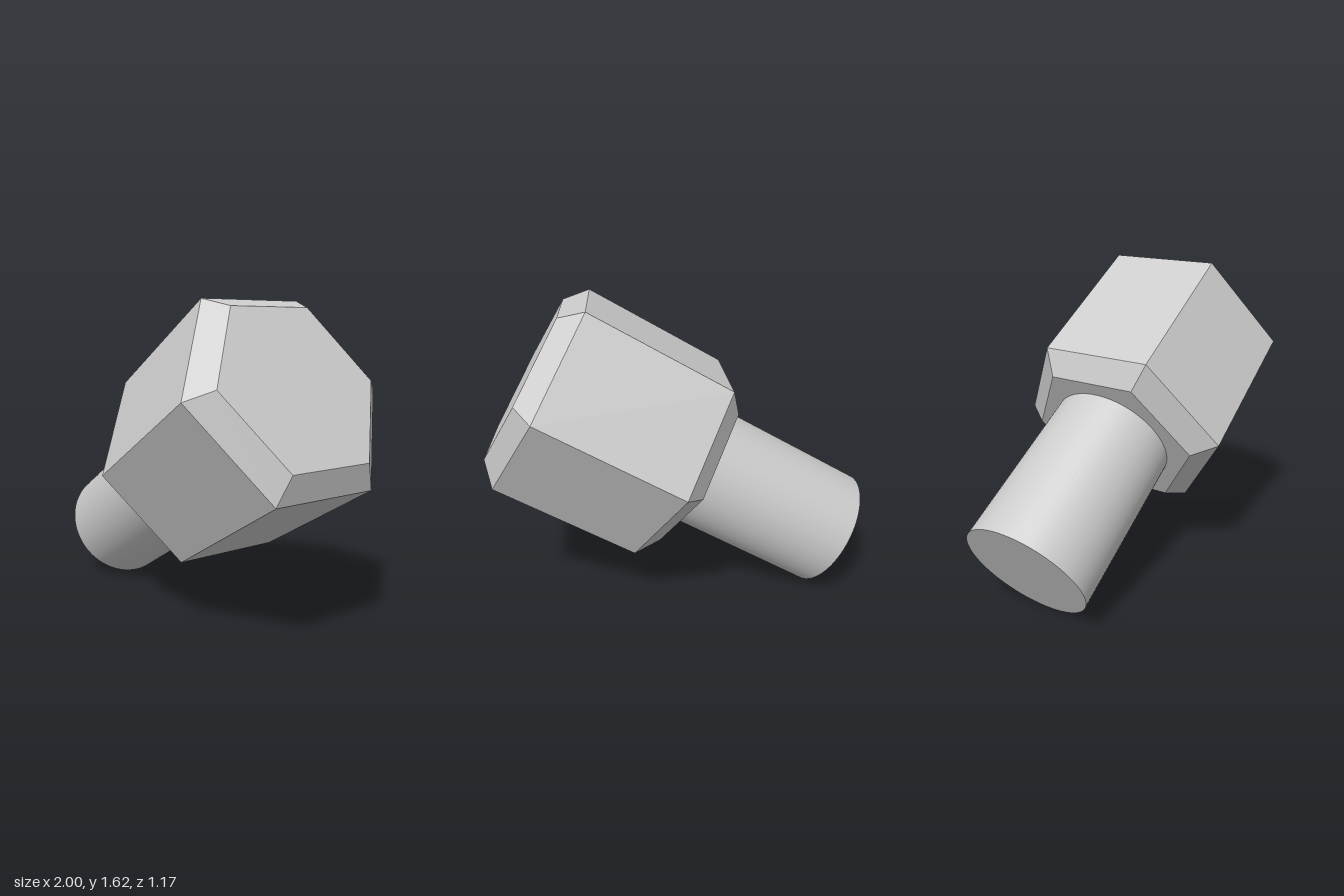
import * as THREE from 'three';

export function createModel() {
  const model = new THREE.Group();
  model.name = 'hexBolt';
  const smooth = new THREE.MeshStandardMaterial({ color: 0xcccccc });
  const faceted = new THREE.MeshStandardMaterial({ color: 0xcccccc, flatShading: true });

  // The bolt is built upright along y, then tilted as a whole
  const bolt = new THREE.Group();
  bolt.name = 'bolt';
  bolt.position.set(-0.837, 0.284, 0);
  bolt.rotation.z = -Math.PI / 3;
  model.add(bolt);

  // Round shaft, its end just inside the head
  const shaftLength = 0.9;
  const shaft = new THREE.Mesh(new THREE.CylinderGeometry(0.328, 0.328, shaftLength, 96), smooth);
  shaft.name = 'shaft';
  shaft.position.y = shaftLength / 2;
  bolt.add(shaft);

  // Six-sided head, chamfered at both ends and turned by one degree
  const profile = [[0, 0.878], [0.467, 0.878], [0.585, 0.977], [0.585, 1.785], [0.467, 1.885], [0, 1.885]]
    .map(([r, y]) => new THREE.Vector2(r, y));
  const head = new THREE.Mesh(new THREE.LatheGeometry(profile, 6, Math.PI / 180), faceted);
  head.name = 'hexHead';
  bolt.add(head);

  return model;
}
